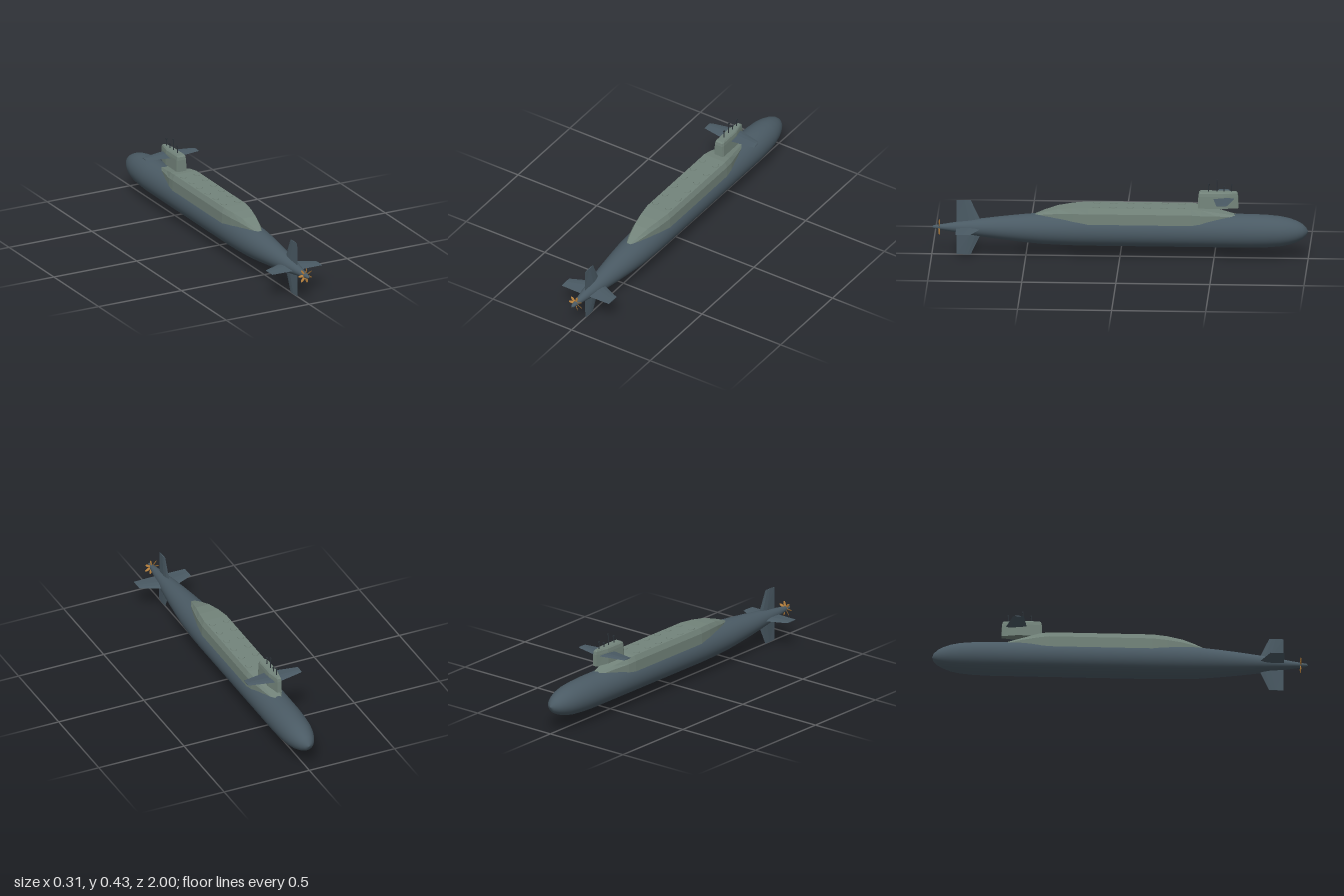
import * as THREE from 'three';

const AXIS = 0.153; // height of the hull centreline

const mat = (name, color) => {
  const m = new THREE.MeshStandardMaterial({ color });
  m.name = name;
  return m;
};

// Skins a list of equal-length convex rings with flat facets and closed ends.
function loft(rings) {
  const n = rings[0].length, tris = [];
  for (let i = 0; i < rings.length - 1; i++) {
    for (let j = 0; j < n; j++) {
      const k = (j + 1) % n, [a, b] = [rings[i], rings[i + 1]];
      tris.push([a[j], a[k], b[k]], [a[j], b[k], b[j]]);
    }
  }
  const last = rings[rings.length - 1];
  for (let j = 1; j < n - 1; j++) {
    tris.push([rings[0][0], rings[0][j + 1], rings[0][j]], [last[0], last[j], last[j + 1]]);
  }
  // Signed volume tells whether the faces point outward
  let volume = 0;
  for (const [a, b, c] of tris) volume += a.dot(new THREE.Vector3().crossVectors(b, c));
  if (volume < 0) tris.forEach((t) => t.reverse());
  const geo = new THREE.BufferGeometry().setFromPoints(tris.flat());
  geo.computeVertexNormals();
  return geo;
}

// Fin growing along +x; each station is [x, leading z, trailing z, half thickness]
function finGeometry(stations) {
  const foil = [[0, 0], [0.2, 0.8], [0.45, 1], [1, 0.1], [0.45, -1], [0.2, -0.8]];
  return loft(stations.map(([x, z0, z1, t]) =>
    foil.map(([c, h]) => new THREE.Vector3(x, h * t, z0 + (z1 - z0) * c))));
}

export function createModel() {
  const model = new THREE.Group();
  model.name = 'submarine';
  const hullGrey = mat('hull slate', 0x4a5a64);
  const deckGrey = mat('casing grey green', 0x73847b);
  const bronze = mat('propeller bronze', 0xb57f3c);
  const mastDark = mat('mast dark', 0x2b3238);

  const add = (name, geo, material, parent = model) => {
    const mesh = new THREE.Mesh(geo, material);
    mesh.name = name;
    parent.add(mesh);
    return mesh;
  };

  // Pressure hull, bow at -z
  const profile = [
    [0, -1], [0.022, -0.99], [0.041, -0.97], [0.057, -0.94], [0.071, -0.9], [0.081, -0.85],
    [0.087, -0.78], [0.09, -0.7], [0.09, 0.2], [0.088, 0.3], [0.083, 0.42], [0.074, 0.52],
    [0.062, 0.63], [0.048, 0.74], [0.033, 0.84], [0.018, 0.93], [0.009, 0.99], [0, 1],
  ].map(([r, z]) => new THREE.Vector2(r, z));
  const hull = add('hull', new THREE.LatheGeometry(profile, 48).rotateX(Math.PI / 2), hullGrey);
  hull.position.y = AXIS;

  // Raised missile casing: [z, half width, top half width, shoulder y, top y]
  const casing = [
    [0.45, 0.014, 0.01, 0.228, 0.233], [0.4, 0.034, 0.024, 0.238, 0.251],
    [0.33, 0.052, 0.039, 0.248, 0.271], [0.25, 0.068, 0.055, 0.253, 0.281],
    [0.17, 0.078, 0.066, 0.256, 0.285], [-0.38, 0.078, 0.066, 0.256, 0.285],
    [-0.43, 0.073, 0.06, 0.252, 0.28], [-0.52, 0.052, 0.04, 0.245, 0.261],
    [-0.62, 0.024, 0.016, 0.232, 0.24],
  ];
  add('missileCasing', loft(casing.map(([z, w, t, ys, yt]) =>
    [[-w, 0.18], [-w, ys], [-t, yt], [t, yt], [w, ys], [w, 0.18]]
      .map(([x, y]) => new THREE.Vector3(x, y, z)))), deckGrey);

  // Two rows of missile hatches
  const hatchGeo = new THREE.CylinderGeometry(0.019, 0.02, 0.004, 8)
    .rotateY(Math.PI / 8).scale(0.85, 1, 1.08);
  for (let i = 0; i < 6; i++) {
    for (const side of [-1, 1]) {
      add('missileHatch', hatchGeo, deckGrey)
        .position.set(side * 0.041, 0.286, -0.328 + i * 0.0905);
    }
  }

  // Sail, tapering slightly upward: [y, half width, end inset]
  const sail = [[0.281, 0.03, 0], [0.345, 0.0275, 0.002], [0.362, 0.025, 0.005], [0.369, 0.02, 0.012]];
  add('sail', loft(sail.map(([y, w, e]) => [
    [-w * 0.85, -0.415 - e], [w * 0.85, -0.415 - e], [w, -0.425 - e], [w, -0.55],
    [w * 0.42, -0.63 + e], [-w * 0.42, -0.63 + e], [-w, -0.55], [-w, -0.425 - e],
  ].map(([x, z]) => new THREE.Vector3(x, y, z)))), deckGrey);

  // Sail planes
  const planeGeo = finGeometry([[0.015, -0.608, -0.495, 0.006], [0.145, -0.578, -0.517, 0.0035],
    [0.157, -0.572, -0.519, 0.002]]);
  for (const side of [0, 1]) {
    const plane = add('sailPlane', planeGeo, hullGrey);
    plane.position.y = 0.334;
    plane.rotation.z = side * Math.PI;
  }

  // Masts and periscopes
  for (const [z, top] of [[-0.47, 0.41], [-0.515, 0.433], [-0.552, 0.395], [-0.592, 0.411]]) {
    const mast = new THREE.Group();
    mast.name = 'mast';
    mast.position.z = z;
    model.add(mast);
    const h = top - 0.36;
    add('mastTube', new THREE.CylinderGeometry(0.0025, 0.003, h, 10), mastDark, mast)
      .position.y = 0.36 + h / 2;
    add('mastHead', new THREE.BoxGeometry(0.006, 0.008, 0.01), mastDark, mast)
      .position.set(0, top - 0.004, -0.002);
  }

  // Cruciform tail fins
  const tailGeo = finGeometry([[0.01, 0.735, 0.87, 0.008], [0.04, 0.742, 0.87, 0.007],
    [0.15, 0.793, 0.868, 0.0025]]);
  for (let i = 0; i < 4; i++) {
    const fin = add(i % 2 ? 'rudder' : 'sternPlane', tailGeo, hullGrey);
    fin.position.y = AXIS;
    fin.rotation.z = i * Math.PI / 2;
  }

  // Seven-bladed propeller
  const propeller = new THREE.Group();
  propeller.name = 'propeller';
  propeller.position.set(0, AXIS, 0.96);
  model.add(propeller);
  const bladeGeo = new THREE.SphereGeometry(1, 12, 10)
    .scale(0.0068, 0.0185, 0.0015).rotateY(0.55).translate(0, 0.025, 0);
  for (let i = 0; i < 7; i++) {
    add('propellerBlade', bladeGeo, bronze, propeller).rotation.z = -0.2 + i * Math.PI * 2 / 7;
  }

  return model;
}
